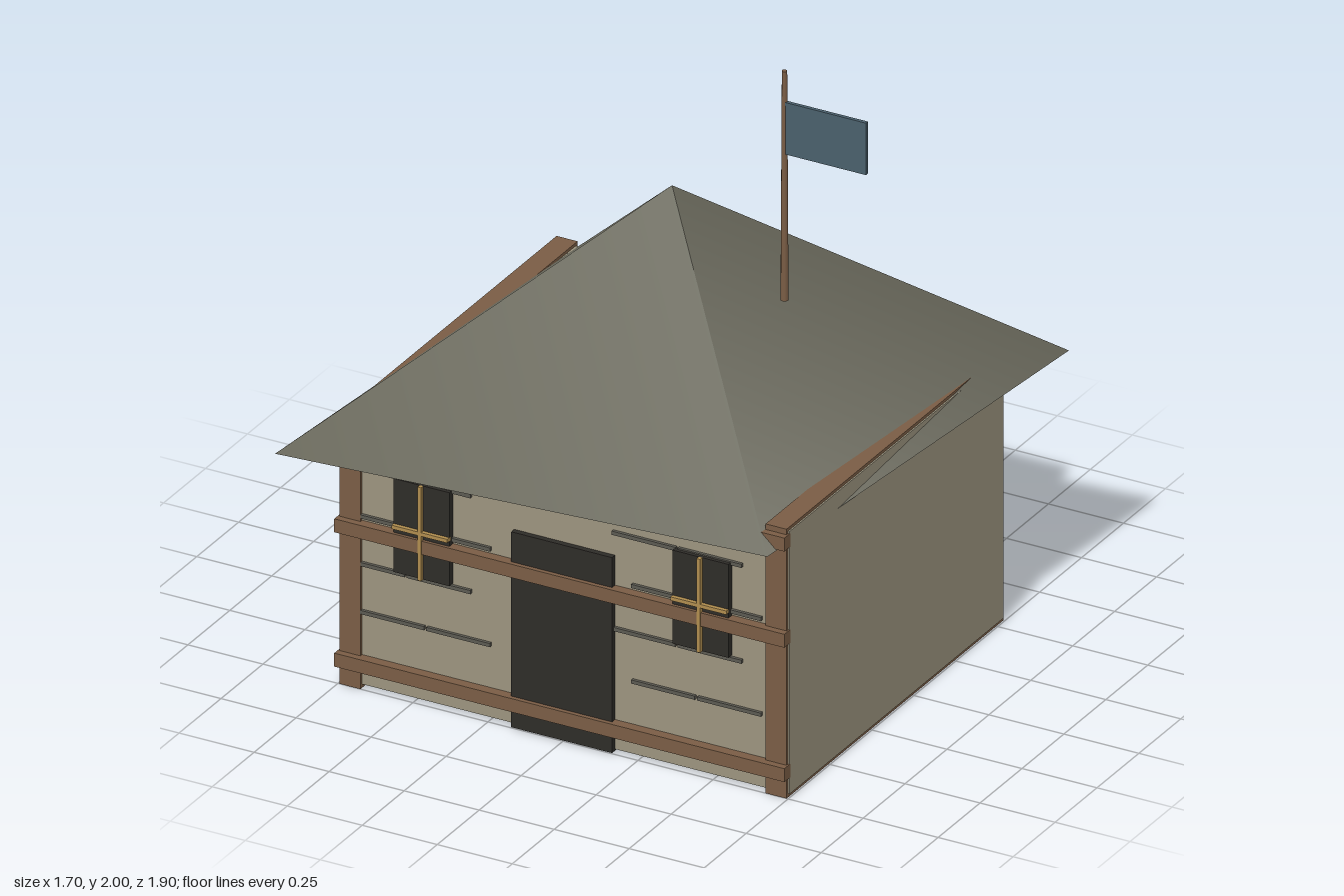
import * as THREE from 'three';

const mat = (color) => new THREE.MeshStandardMaterial({ color });

export function createModel() {
  const house = new THREE.Group();
  house.name = 'house';
  const wall = mat(0x9c947f), wood = mat(0x7a5d45), roofMat = mat(0x6a695c);
  const dark = mat(0x2e2c28), seam = mat(0x5c5a52), gold = mat(0xb08d4f), cloth = mat(0x4a606c);

  const add = (name, geometry, material, x, y, z, parent = house) => {
    const mesh = new THREE.Mesh(geometry, material);
    mesh.name = name;
    mesh.position.set(x, y, z);
    parent.add(mesh);
    return mesh;
  };
  // box given by its min and max on each axis
  const box = (name, material, [x0, x1], [y0, y1], [z0, z1], parent) =>
    add(name, new THREE.BoxGeometry(x1 - x0, y1 - y0, z1 - z0), material,
      (x0 + x1) / 2, (y0 + y1) / 2, (z0 + z1) / 2, parent);

  // main body
  box('walls', wall, [-0.75, 0.75], [0.015, 0.875], [-0.535, 0.74]);

  // timber frames that show at the four corners
  for (const s of [-1, 1]) {
    box('cornerTimber', wood, s < 0 ? [-0.745, -0.675] : [0.675, 0.745], [0.003, 0.885], [-0.545, 0.75]);
  }

  // horizontal beams across the front
  for (const y of [0.09, 0.53, 0.845]) {
    box('frontBeam', wood, [-0.75, 0.75], [y - 0.022, y + 0.022], [0.735, 0.772]);
  }

  // pyramid roof, stretched along one diagonal
  const roof = add('roof', new THREE.ConeGeometry(1, 0.71, 4), roofMat, 0, 1.175, 0.1);
  roof.scale.set(1.2, 1, 1.018);
  roof.rotation.y = Math.PI / 4;

  // door
  box('door', dark, [-0.168, 0.168], [0.01, 0.65], [0.73, 0.758]);

  // windows with crossed glazing bars
  for (const x of [-0.465, 0.465]) {
    const win = new THREE.Group();
    win.name = 'window';
    win.position.set(x, 0.575, 0);
    house.add(win);
    box('windowPane', dark, [-0.093, 0.093], [-0.153, 0.153], [0.735, 0.762], win);
    box('verticalBar', gold, [-0.006, 0.006], [-0.153, 0.153], [0.755, 0.775], win);
    box('horizontalBar', gold, [-0.093, 0.093], [-0.006, 0.006], [0.755, 0.775], win);
  }

  // staggered seams between the wall courses
  [0.255, 0.412, 0.568, 0.726].forEach((y, row) => {
    const shift = row % 2 ? -0.065 : 0;
    for (const side of [-0.46, 0.443]) {
      for (const half of [-0.11, 0.11]) {
        const x = side + half + shift;
        box('wallSeam', seam, [x - 0.106, x + 0.106], [y - 0.006, y + 0.006], [0.735, 0.75]);
      }
    }
  });

  // log pile behind the house
  for (let i = 0; i < 5; i++) {
    const log = add('log', new THREE.CylinderGeometry(0.06, 0.06, 0.42, 16), wood, -0.375 + i * 0.15, 0.1, -0.74);
    log.rotation.x = Math.PI / 2;
  }

  // flag on its pole
  add('flagPole', new THREE.CylinderGeometry(0.008, 0.012, 0.75, 10), wood, 0.375, 1.625, 0.1);
  box('flag', cloth, [0.38, 0.65], [1.73, 1.9], [0.094, 0.106]);

  return house;
}
